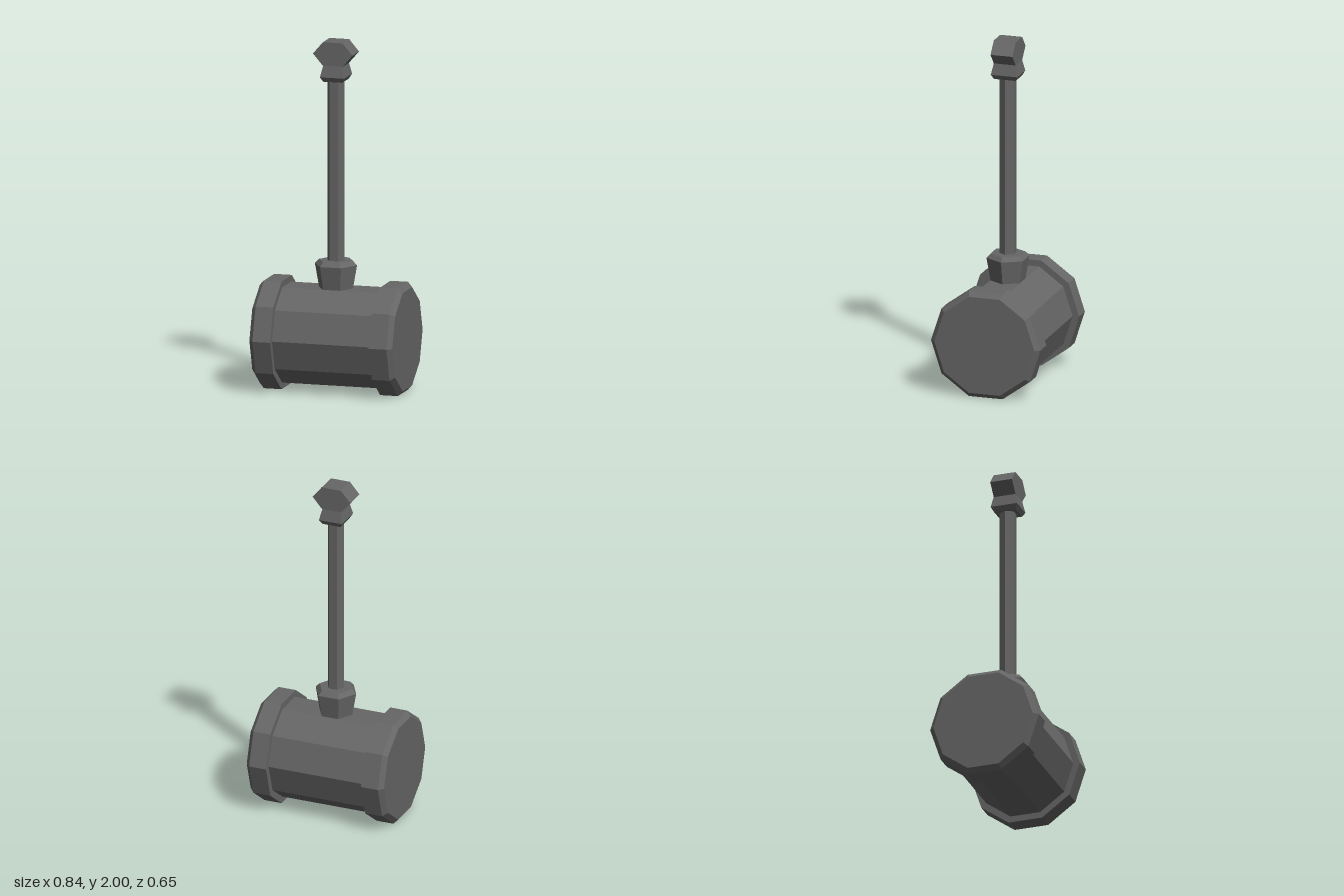
import * as THREE from 'three';

const iron = new THREE.MeshStandardMaterial({ color: 0x666666, flatShading: true });
iron.name = 'darkIron';

// Capped solid through n-sided cross-sections given as [radiusX, radiusZ, y], bottom to top
function loft(name, n, turn, sections) {
  const rings = sections.map(([rx, rz, y]) => Array.from({ length: n }, (_, i) => {
    const a = turn + (i / n) * Math.PI * 2;
    return new THREE.Vector3(rx * Math.cos(a), y, -rz * Math.sin(a));
  }));
  const points = [];
  const first = rings[0], last = rings[rings.length - 1];
  const bottom = new THREE.Vector3(0, first[0].y, 0);
  const top = new THREE.Vector3(0, last[0].y, 0);
  for (let i = 0; i < n; i++) {
    const j = (i + 1) % n;
    points.push(bottom, first[j], first[i], top, last[i], last[j]);
    for (let k = 0; k + 1 < rings.length; k++) {
      const a = rings[k], b = rings[k + 1];
      points.push(a[i], a[j], b[j], a[i], b[j], b[i]);
    }
  }
  const geometry = new THREE.BufferGeometry().setFromPoints(points);
  geometry.computeVertexNormals();
  const mesh = new THREE.Mesh(geometry, iron);
  mesh.name = name;
  return mesh;
}

const round = (r, y) => [r, r, y];
const box = (halfX, halfZ, y) => [halfX * Math.SQRT2, halfZ * Math.SQRT2, y];

export function createModel() {
  const model = new THREE.Group();
  model.name = 'warHammer';

  // Ten-sided head lying along x, with a bevelled band at each end
  const head = new THREE.Group();
  head.name = 'head';
  head.position.y = 0.309;
  const barrel = loft('barrel', 10, Math.PI / 2, [round(0.287, -0.3), round(0.287, 0.3)]);
  barrel.rotation.z = -Math.PI / 2;
  head.add(barrel);
  for (const side of [1, -1]) {
    const band = loft(side > 0 ? 'leftBand' : 'rightBand', 10, Math.PI / 2,
      [round(0.325, 0.29), round(0.325, 0.394), round(0.297, 0.42)]);
    band.rotation.z = -side * Math.PI / 2;
    head.add(band);
  }
  model.add(head);

  // Six-sided collar and shaft
  model.add(loft('collar', 6, 0, [round(0.096, 0.56), round(0.124, 0.716), round(0.1, 0.741)]));
  model.add(loft('shaft', 6, 0, [round(0.05, 0.6), round(0.05, 1.8)]));

  // Flared square neck under a six-sided pommel
  model.add(loft('pommelNeck', 4, Math.PI / 4,
    [box(0.056, 0.064, 1.773), box(0.071, 0.079, 1.8), box(0.056, 0.065, 1.866)]));
  model.add(loft('pommel', 4, Math.PI / 4,
    [box(0.058, 0.065, 1.865), box(0.116, 0.065, 1.932), box(0.058, 0.065, 2)]));

  return model;
}
